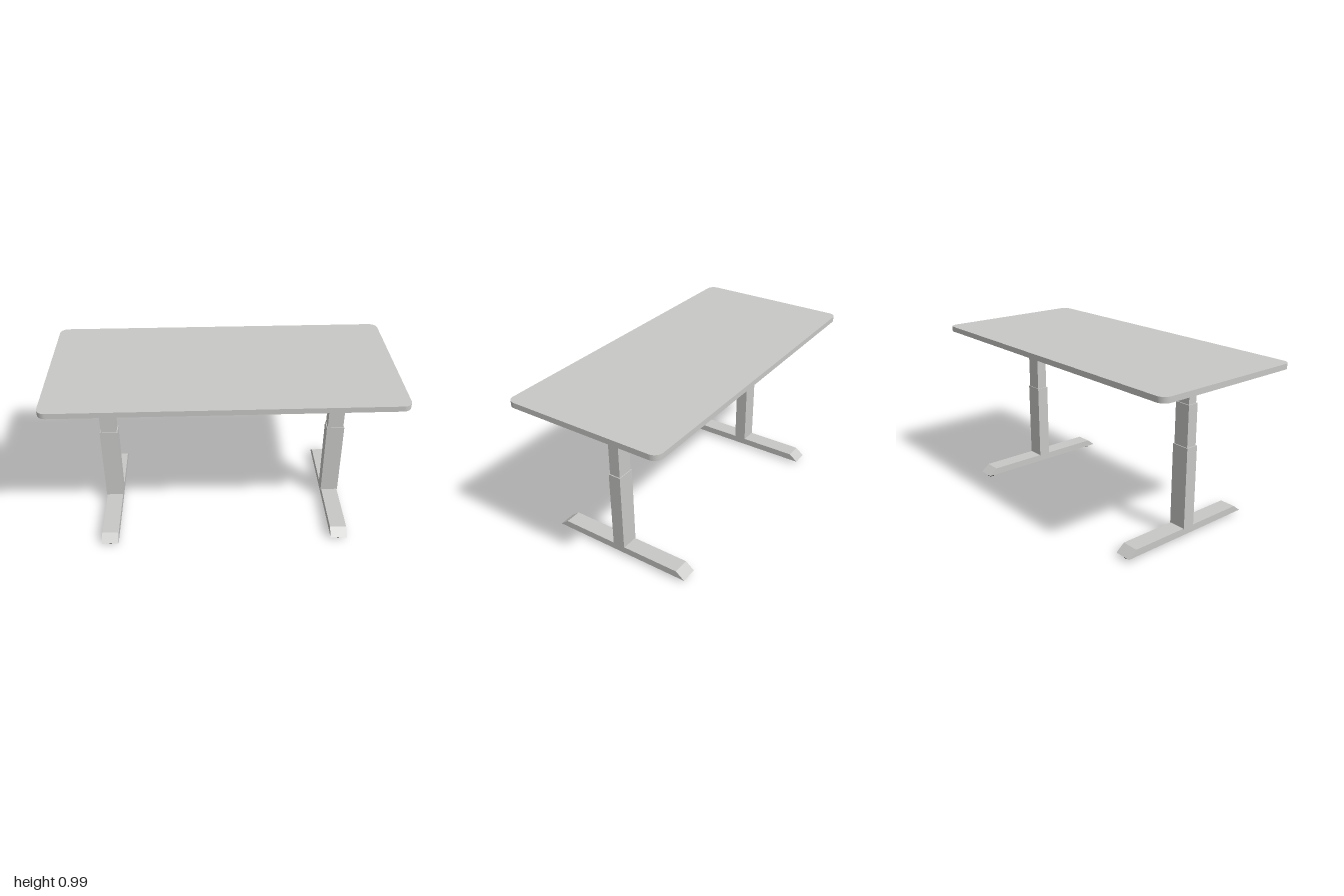
import * as THREE from 'three';

export function createModel() {
  const desk = new THREE.Group();
  desk.name = 'standingDesk';

  const grey = new THREE.MeshStandardMaterial({ color: 0xc8c8c6 });
  grey.name = 'light grey';
  const black = new THREE.MeshStandardMaterial({ color: 0x222222 });
  black.name = 'black rubber';

  const add = (parent, name, geometry, material, x, y, z) => {
    const mesh = new THREE.Mesh(geometry, material);
    mesh.name = name;
    mesh.position.set(x, y, z);
    parent.add(mesh);
    return mesh;
  };
  // Box given by its bottom and top heights
  const addBox = (parent, name, w, y0, y1, d) =>
    add(parent, name, new THREE.BoxGeometry(w, y1 - y0, d), grey, 0, (y0 + y1) / 2, 0);

  // Tabletop: rounded rectangle slab
  const X = 1, Z = 0.48, R = 0.05, topY = 0.993, underY = 0.961;
  const outline = new THREE.Shape();
  outline.absarc(X - R, Z - R, R, 0, Math.PI / 2);
  outline.absarc(-X + R, Z - R, R, Math.PI / 2, Math.PI);
  outline.absarc(-X + R, -Z + R, R, Math.PI, Math.PI * 1.5);
  outline.absarc(X - R, -Z + R, R, Math.PI * 1.5, Math.PI * 2);
  const slab = new THREE.ExtrudeGeometry(outline, {
    depth: topY - underY, bevelEnabled: false, curveSegments: 10,
  });
  slab.rotateX(-Math.PI / 2);
  add(desk, 'tabletop', slab, grey, 0, underY, 0);

  // Crossbar joining the two legs
  const legX = 0.697;
  addBox(desk, 'crossbar', 1.32, 0.908, underY, 0.066);

  // Foot profile with sloping ends, drawn along z and extruded across x
  const footWidth = 0.1;
  const profile = new THREE.Shape([
    new THREE.Vector2(-0.45, 0.02), new THREE.Vector2(0.45, 0.02),
    new THREE.Vector2(0.397, 0.062), new THREE.Vector2(-0.397, 0.062),
  ]);
  const footGeometry = new THREE.ExtrudeGeometry(profile, { depth: footWidth, bevelEnabled: false });
  footGeometry.translate(0, 0, -footWidth / 2).rotateY(Math.PI / 2);
  const padGeometry = new THREE.CylinderGeometry(0.02, 0.02, 0.02, 24);

  for (const side of [1, -1]) {
    const leg = new THREE.Group();
    leg.name = side > 0 ? 'leftLeg' : 'rightLeg';
    leg.position.x = side * legX;
    desk.add(leg);

    // Telescoping column
    addBox(leg, 'lowerColumn', 0.108, 0.06, 0.55, 0.076);
    addBox(leg, 'middleColumn', 0.096, 0.55, 0.795, 0.067);
    addBox(leg, 'upperColumn', 0.085, 0.795, 0.921, 0.055);

    // Support under the tabletop, foot and levelling pads
    addBox(leg, 'topSupport', 0.077, 0.921, underY, 0.794);
    add(leg, 'foot', footGeometry, grey, 0, 0, 0);
    for (const z of [0.412, -0.412]) add(leg, 'levellingPad', padGeometry, black, 0, 0.01, z);
  }
  return desk;
}
